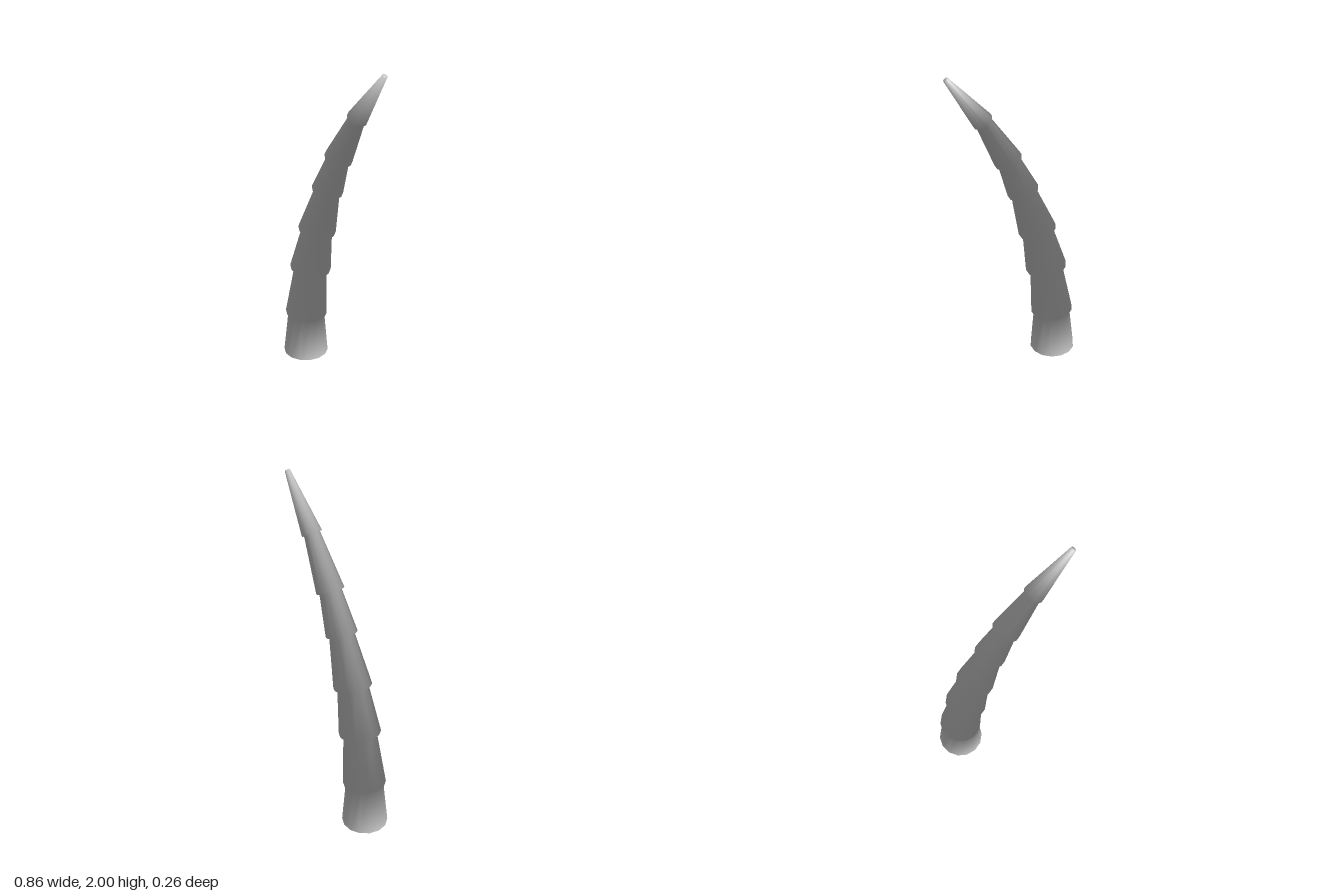
import * as THREE from 'three';

const SIDES = 14;

// Joints along the horn: centre x, centre y, tilt, neck radius, flared radius
const joints = [
  [-0.287, 0.277, 0.1, 0.109, 0.125],
  [-0.238, 0.61, 0.17, 0.095, 0.121],
  [-0.168, 0.893, 0.26, 0.088, 0.11],
  [-0.065, 1.185, 0.36, 0.071, 0.0905],
  [0.037, 1.413, 0.45, 0.063, 0.08],
  [0.2, 1.695, 0.59, 0.046, 0.058],
];

// Rings from base to tip: x, y, tilt, radius, and the normal's radial and axial lean.
// Each neck and flare shares one soft normal with the ledge between them.
const rings = [[-0.296, 0, 0, 0.1345, 1, 0]];
for (const [x, y, tilt, neck, flare] of joints) {
  rings.push([x, y, tilt, neck, 1, -1], [x, y, tilt, flare, 1, -1]);
}
rings.push([0.419, 1.99, 0.72, 0.015, 1, 1], [0.419, 1.99, 0.72, 0, 0, 1]);

// Continuous stepped skin, open at the base and closed at the tip
function hornSkin() {
  const rows = rings.length - 1;
  const geo = new THREE.CylinderGeometry(1, 1, 1, SIDES, rows, true, Math.PI / 2);
  const pos = geo.attributes.position;
  const nor = geo.attributes.normal;
  const bendAxis = new THREE.Vector3(0, 0, 1);
  const v = new THREE.Vector3();
  for (let i = 0; i < pos.count; i++) {
    const [x, y, tilt, radius, radial, axial] = rings[rows - Math.floor(i / (SIDES + 1))];
    const cx = pos.getX(i);
    const cz = pos.getZ(i);
    v.set(cx * radius, 0, cz * radius).applyAxisAngle(bendAxis, -tilt);
    pos.setXYZ(i, v.x + x, v.y + y, v.z);
    v.set(cx * radial, axial, cz * radial).normalize().applyAxisAngle(bendAxis, -tilt);
    nor.setXYZ(i, v.x, v.y, v.z);
  }
  return geo;
}

export function createModel() {
  const model = new THREE.Group();
  model.name = 'hornModel';
  const material = new THREE.MeshStandardMaterial({ color: 0xcccccc, side: THREE.DoubleSide });
  const horn = new THREE.Mesh(hornSkin(), material);
  horn.name = 'horn';
  model.add(horn);
  return model;
}
